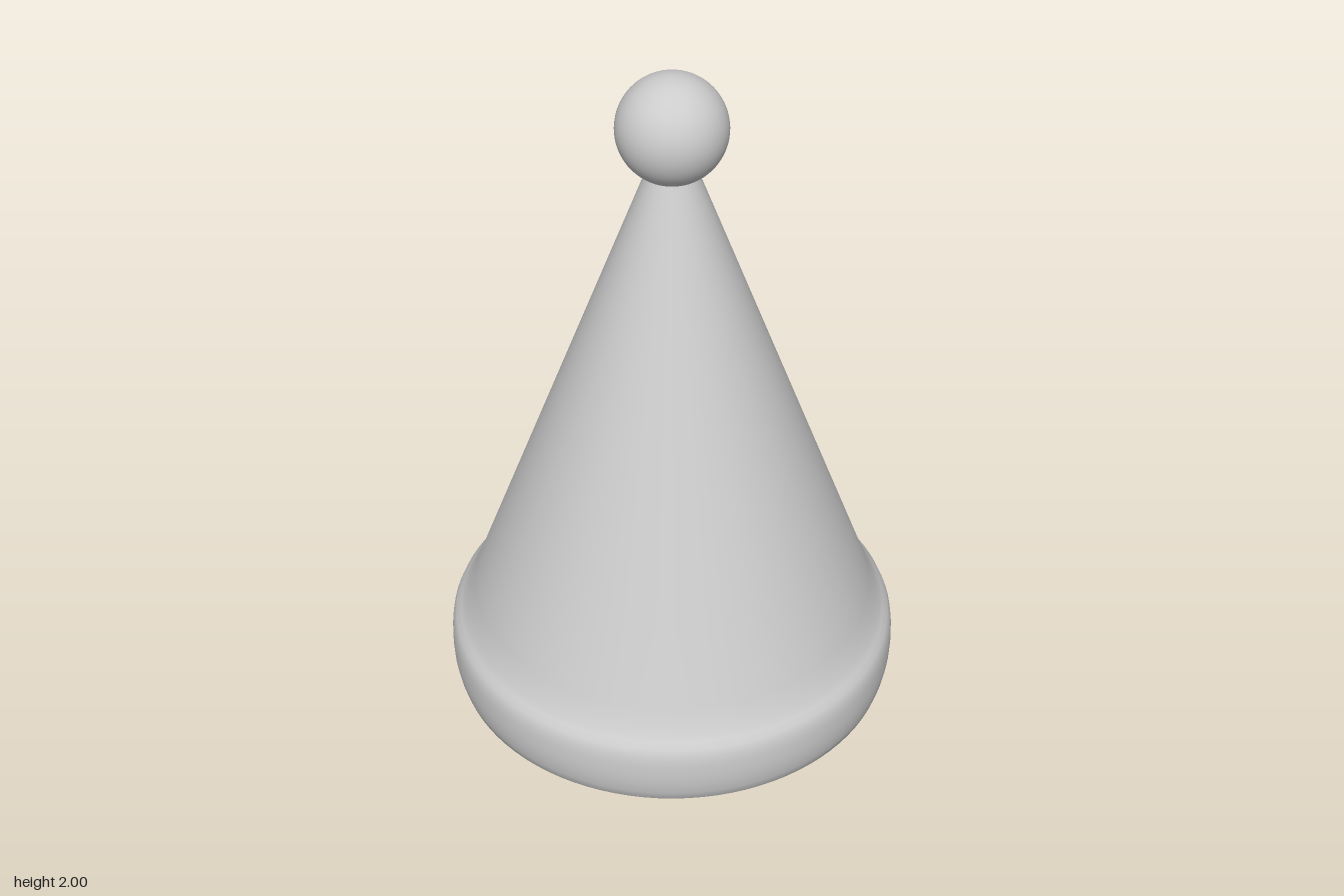
import * as THREE from 'three';

export function createModel() {
  const group = new THREE.Group();
  const add = (name, geometry, side = THREE.FrontSide) => {
    const mesh = new THREE.Mesh(geometry, new THREE.MeshStandardMaterial({ color: 0xcccccc, side }));
    mesh.name = name;
    group.add(mesh);
    return mesh;
  };
  const lathe = (points) =>
    new THREE.LatheGeometry(points.map(([r, y]) => new THREE.Vector2(r, y)), 96);

  // Hollow, open-bottomed hat: rounded brim band flowing into a straight cone
  const hat = [
    [0.63, 0.005], [0.643, 0], [0.655, 0.01], [0.664, 0.04], [0.67, 0.075], [0.672, 0.11],
    [0.671, 0.15], [0.667, 0.18], [0.658, 0.202], [0.643, 0.218], [0.631, 0.235], [0.615, 0.265],
    [0.597, 0.307],
  ];
  const [r0, y0] = hat[hat.length - 1];
  for (let i = 1; i <= 6; i++) {
    const t = i / 6;
    hat.push([THREE.MathUtils.lerp(r0, 0.072, t), THREE.MathUtils.lerp(y0, 1.71, t)]);
  }
  add('hatCone', lathe(hat), THREE.DoubleSide);

  // Ball on the tip
  add('tipBall', new THREE.SphereGeometry(0.155, 48, 32)).position.y = 1.845;

  return group;
}
